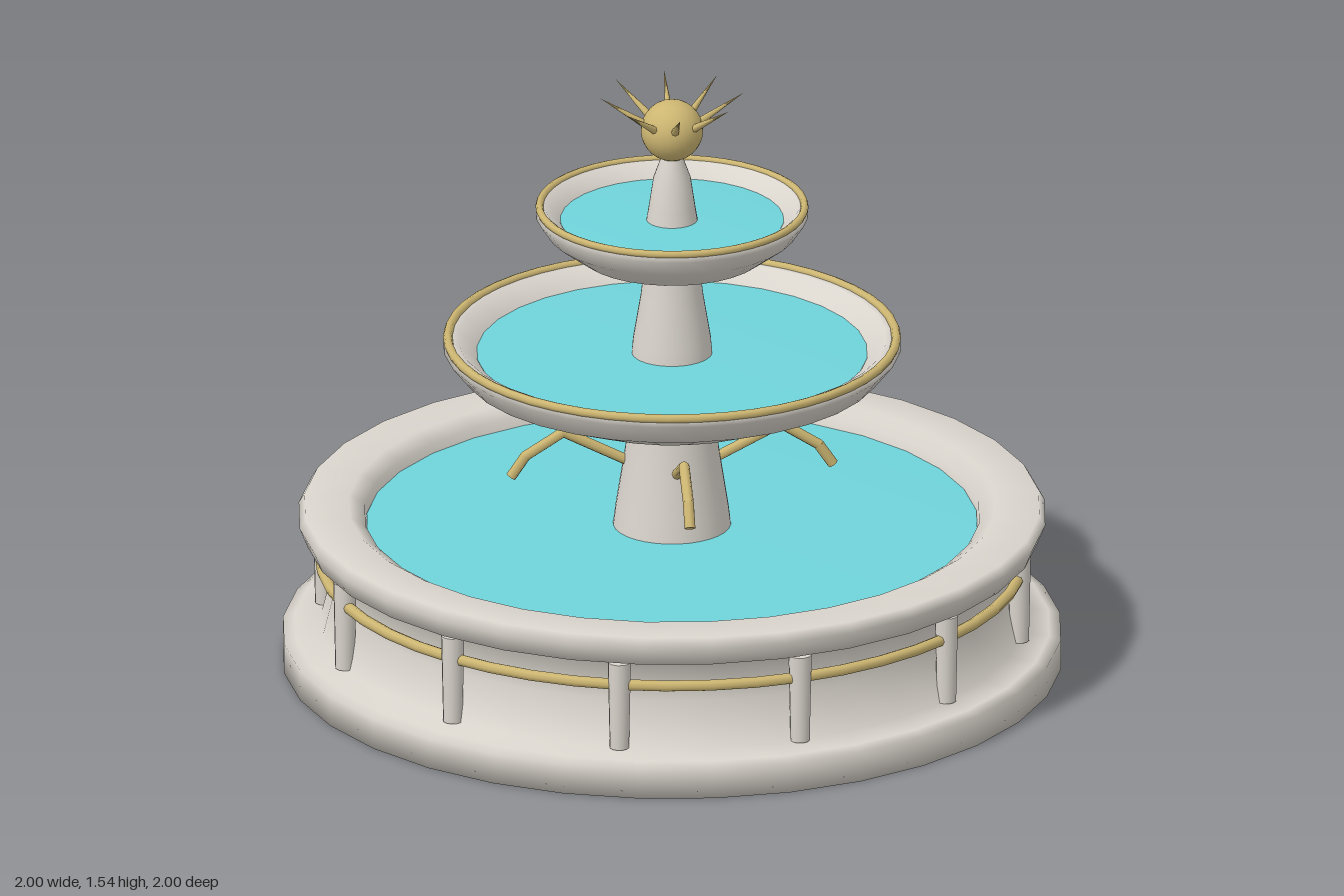
import * as THREE from 'three';

const SEGMENTS = 32;

export function createModel() {
  const fountain = new THREE.Group();
  fountain.name = 'fountain';

  const stone = new THREE.MeshStandardMaterial({ color: 0xd9d4cc });
  stone.name = 'stone';
  const gold = new THREE.MeshStandardMaterial({ color: 0xcdb672 });
  gold.name = 'gold';
  const water = new THREE.MeshStandardMaterial({ color: 0x6fd3da });
  water.name = 'water';

  const add = (name, geometry, material, parent = fountain) => {
    const mesh = new THREE.Mesh(geometry, material);
    mesh.name = name;
    parent.add(mesh);
    return mesh;
  };
  const lathe = (name, profile, material, segments = SEGMENTS) =>
    add(name, new THREE.LatheGeometry(profile.map(([r, y]) => new THREE.Vector2(r, y)), segments), material);
  const pool = (name, r, y) => lathe(name, [[r, y - 0.015], [r, y], [0, y]], water);
  const ring = (name, r, y, tube) => {
    const mesh = add(name, new THREE.TorusGeometry(r, tube, 8, 48), gold);
    mesh.rotation.x = Math.PI / 2;
    mesh.position.y = y;
  };
  // Round bar between two points, optionally tapered
  const rod = (name, a, b, r0, r1, parent) => {
    const dir = b.clone().sub(a);
    const mesh = add(name, new THREE.CylinderGeometry(r1, r0, dir.length(), 8), gold, parent);
    mesh.position.copy(a).add(b).multiplyScalar(0.5);
    mesh.quaternion.setFromUnitVectors(new THREE.Vector3(0, 1, 0), dir.normalize());
  };

  // Ground basin with its plinth, wall and rounded rim
  lathe('basin', [
    [0, 0], [1, 0], [1, 0.08], [0.97, 0.09], [0.9, 0.1], [0.87, 0.22], [0.86, 0.33],
    [0.94, 0.345], [0.96, 0.395], [0.945, 0.42], [0.83, 0.42], [0.79, 0.395], [0.78, 0.33],
  ], stone);
  pool('basinWater', 0.785, 0.37);

  // Balusters and the gold rail around the wall
  for (let i = 0; i < 12; i++) {
    const a = (i / 12) * Math.PI * 2;
    const post = add('baluster', new THREE.CylinderGeometry(0.03, 0.025, 0.235, 12), stone);
    post.position.set(Math.sin(a) * 0.9, 0.2175, Math.cos(a) * 0.9);
  }
  ring('wallRail', 0.9, 0.272, 0.015);

  // Lower column and middle bowl
  lathe('lowerColumn', [[0.155, 0.34], [0.145, 0.42], [0.12, 0.58], [0.11, 0.7]], stone);
  lathe('middleBowl', [
    [0.1, 0.67], [0.15, 0.675], [0.34, 0.715], [0.54, 0.8], [0.588, 0.86], [0.578, 0.88],
    [0.55, 0.88], [0.505, 0.845], [0.48, 0.81],
  ], stone);
  pool('middleWater', 0.503, 0.84);
  ring('middleRing', 0.575, 0.88, 0.012);

  // Upper column and top bowl
  lathe('upperColumn', [[0.105, 0.82], [0.1, 0.88], [0.08, 1.0], [0.07, 1.09]], stone);
  lathe('topBowl', [
    [0.06, 1.055], [0.09, 1.06], [0.24, 1.115], [0.32, 1.175], [0.35, 1.22], [0.343, 1.24],
    [0.325, 1.24], [0.29, 1.21], [0.27, 1.18],
  ], stone);
  pool('topWater', 0.291, 1.205);
  ring('topRing', 0.34, 1.24, 0.01);

  // Finial stem and ball
  lathe('finialStem', [[0.068, 1.19], [0.06, 1.24], [0.048, 1.32], [0.03, 1.37], [0.025, 1.4]], stone, 24);
  add('finialBall', new THREE.SphereGeometry(0.08, 24, 16), gold).position.y = 1.45;

  // Crown of spikes
  for (let i = 0; i < 8; i++) {
    const spike = new THREE.Group();
    spike.name = 'spike';
    spike.rotation.y = (i / 8) * Math.PI * 2;
    rod('spikeCone', new THREE.Vector3(0.055, 1.46, 0), new THREE.Vector3(0.185, 1.545, 0), 0.012, 0, spike);
    fountain.add(spike);
  }

  // Four bent spouts on the diagonals of the lower column
  const bend = [[0.11, 0.545], [0.28, 0.632], [0.378, 0.57], [0.415, 0.515]]
    .map(([r, y]) => new THREE.Vector3(r, y, 0));
  for (let i = 0; i < 4; i++) {
    const spout = new THREE.Group();
    spout.name = 'spout';
    spout.rotation.y = Math.PI / 4 + (i * Math.PI) / 2;
    for (let k = 0; k < 3; k++) {
      rod('spoutPipe', bend[k], bend[k + 1], 0.014, 0.014, spout);
      if (k) add('spoutJoint', new THREE.SphereGeometry(0.014, 8, 6), gold, spout).position.copy(bend[k]);
    }
    fountain.add(spout);
  }

  return fountain;
}
